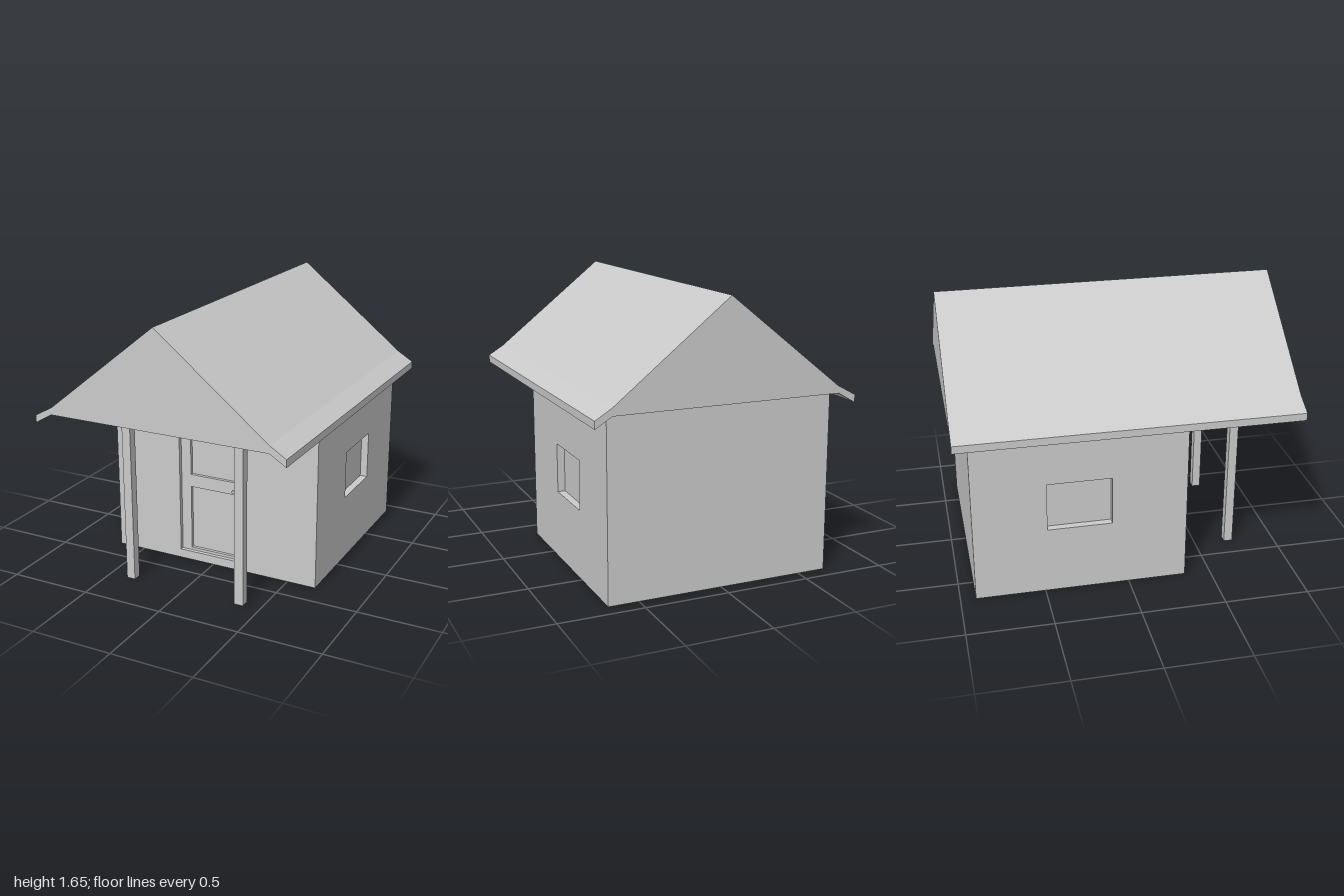
import * as THREE from 'three';

const material = new THREE.MeshStandardMaterial({ color: 0xcccccc, flatShading: true });

// House extents
const X0 = -0.67, X1 = 0.68, ZB = -0.91, ZF = 0.345, WALL_TOP = 1.072, T = 0.025;

function mesh(name, geometry) {
  const m = new THREE.Mesh(geometry, material);
  m.name = name;
  return m;
}

// Box given by its minimum and maximum on each axis
function box(name, x0, x1, y0, y1, z0, z1) {
  const m = mesh(name, new THREE.BoxGeometry(x1 - x0, y1 - y0, z1 - z0));
  m.position.set((x0 + x1) / 2, (y0 + y1) / 2, (z0 + z1) / 2);
  return m;
}

function rectPoints([x0, x1, y0, y1]) {
  return [[x0, y0], [x1, y0], [x1, y1], [x0, y1]].map(([x, y]) => new THREE.Vector2(x, y));
}

// Upright slab in the xy plane with rectangular openings
function slab(name, outer, holes, depth) {
  const shape = new THREE.Shape(rectPoints(outer));
  for (const h of holes) shape.holes.push(new THREE.Path(rectPoints(h).reverse()));
  return mesh(name, new THREE.ExtrudeGeometry(shape, { depth, bevelEnabled: false }));
}

// Side wall with a recessed window; the outer face lies at x, facing side
function sideWall(name, x, side) {
  const group = new THREE.Group();
  group.name = name;
  const opening = side > 0 ? [0.10, 0.48, 0.41, 0.705] : [-0.48, -0.10, 0.41, 0.705];
  const [u0, u1, v0, v1] = opening;
  const ends = side > 0 ? [-ZF, -ZB] : [ZB, ZF];
  const wall = slab('wallPanel', [...ends, 0, WALL_TOP], [opening], T);
  wall.position.z = -T;
  const lining = slab('windowLining', [u0 - 0.02, u1 + 0.02, v0 - 0.02, v1 + 0.02], [opening], 0.03);
  lining.position.z = -T - 0.03;
  const pane = box('windowPane', u0 - 0.01, u1 + 0.01, v0 - 0.01, v1 + 0.01, -0.06, -0.045);
  group.add(wall, lining, pane);
  group.rotation.y = side * Math.PI / 2;
  group.position.x = x;
  return group;
}

function createDoor() {
  const door = new THREE.Group();
  door.name = 'door';
  const upper = [-0.163, 0.175, 0.56, 0.889], lower = [-0.163, 0.175, 0.072, 0.48];
  const leaf = slab('doorLeaf', [-0.235, 0.23, 0.045, 0.9], [upper, lower], 0.02);
  leaf.position.z = ZF - T - 0.02;
  const back = box('doorPanels', -0.23, 0.225, 0.045, 0.9, ZF - 0.06, ZF - 0.045);
  // Lever handle on a short stem
  const stem = box('handleStem', 0.18, 0.2, 0.51, 0.525, ZF - 0.03, ZF + 0.01);
  const lever = box('handleLever', 0.138, 0.2, 0.51, 0.525, ZF + 0.005, ZF + 0.02);
  door.add(leaf, back, stem, lever);
  return door;
}

export function createModel() {
  const house = new THREE.Group();
  house.name = 'house';

  // Walls and raised floor
  const front = slab('frontWall', [X0 + T, X1 - T, 0, WALL_TOP], [[-0.228, 0.223, 0.055, 0.89]], T);
  front.position.z = ZF - T;
  house.add(
    front,
    box('backWall', X0 + T, X1 - T, 0, WALL_TOP, ZB, ZB + T),
    sideWall('leftWall', X1, 1),
    sideWall('rightWall', X0, -1),
    box('floor', X0 + T, X1 - T, 0.05, 0.07, ZB + T, ZF - T),
    createDoor()
  );

  // Porch posts
  house.add(
    box('leftPost', 0.345, 0.4, 0.005, 1.075, 0.685, 0.738),
    box('rightPost', -0.377, -0.323, 0.005, 1.075, 0.685, 0.738)
  );

  // Solid gable roof with flared eaves
  const profile = [
    [0.008, 1.653], [-0.663, 1.117], [-0.777, 1.055], [-0.777, 1.01], [X0, 1.072],
    [X1, 1.072], [0.777, 1.012], [0.777, 1.057], [0.68, 1.117],
  ].map(([x, y]) => new THREE.Vector2(x, y));
  const roof = mesh('roof', new THREE.ExtrudeGeometry(new THREE.Shape(profile), { depth: 2, bevelEnabled: false }));
  roof.position.z = -1;
  house.add(roof);

  return house;
}
